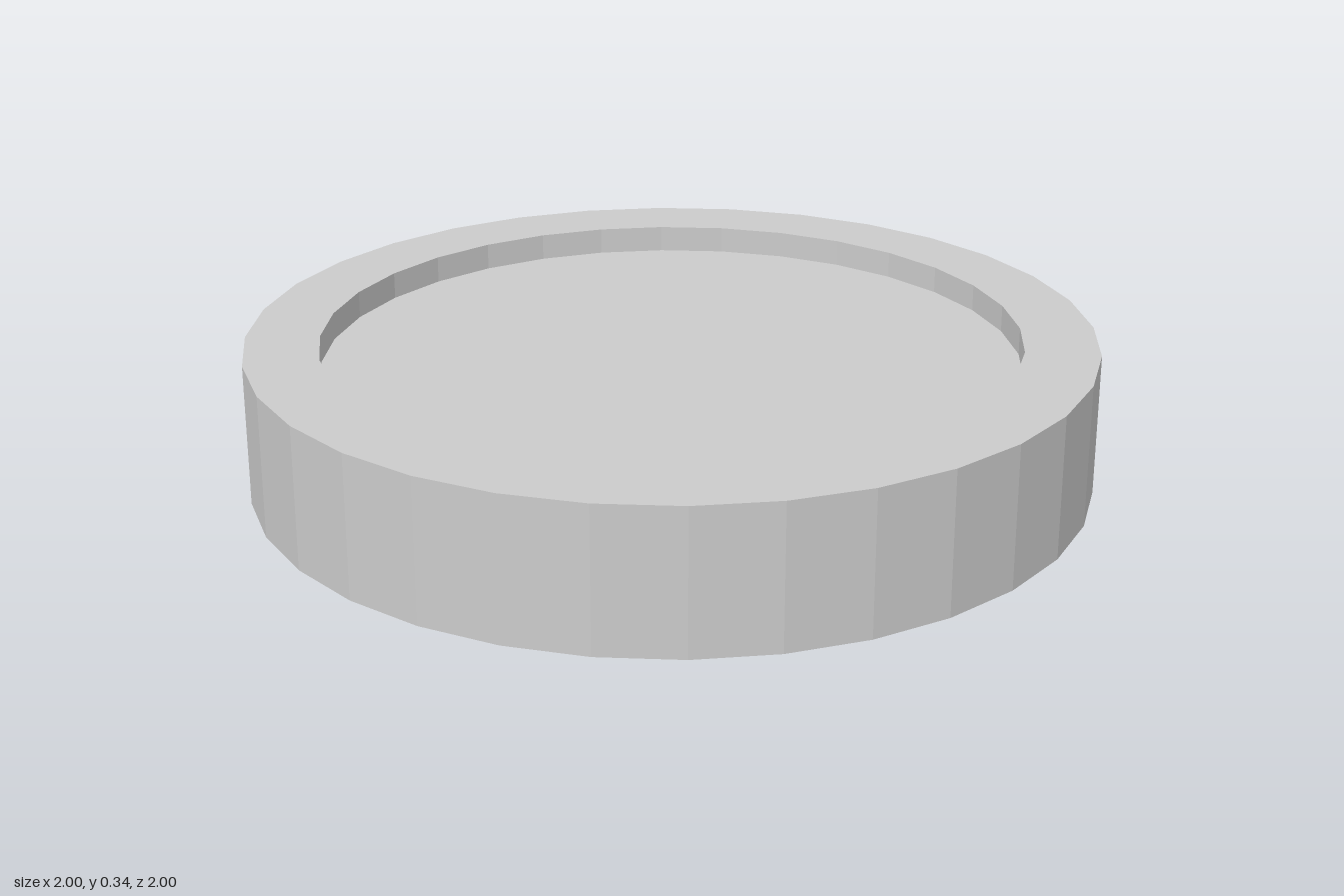
import * as THREE from 'three';

const SIDES = 32;
const HEIGHT = 0.34;
const OUTER = 1, INNER = 0.825;
const PANEL_BOTTOM = 0.058, PANEL_TOP = HEIGHT - 0.065;

export function createModel() {
  const group = new THREE.Group();
  group.name = 'recessedDisc';
  const material = new THREE.MeshStandardMaterial({ color: 0xcccccc, flatShading: true });

  const add = (name, geometry) => {
    const mesh = new THREE.Mesh(geometry, material);
    mesh.name = name;
    group.add(mesh);
    return mesh;
  };

  // Faceted ring: lower recess wall, underside, outer wall, top, upper recess wall
  const profile = [
    [INNER, PANEL_BOTTOM], [INNER, 0], [OUTER, 0],
    [OUTER, HEIGHT], [INNER, HEIGHT], [INNER, PANEL_TOP],
  ].map(([r, y]) => new THREE.Vector2(r, y));
  add('rim', new THREE.LatheGeometry(profile, SIDES));

  // Sunken faces closing the ring above and below
  const topPanel = add('topPanel', new THREE.CircleGeometry(INNER, SIDES).rotateX(-Math.PI / 2));
  topPanel.position.y = PANEL_TOP;
  const bottomPanel = add('bottomPanel', new THREE.CircleGeometry(INNER, SIDES).rotateX(Math.PI / 2));
  bottomPanel.position.y = PANEL_BOTTOM;

  return group;
}
